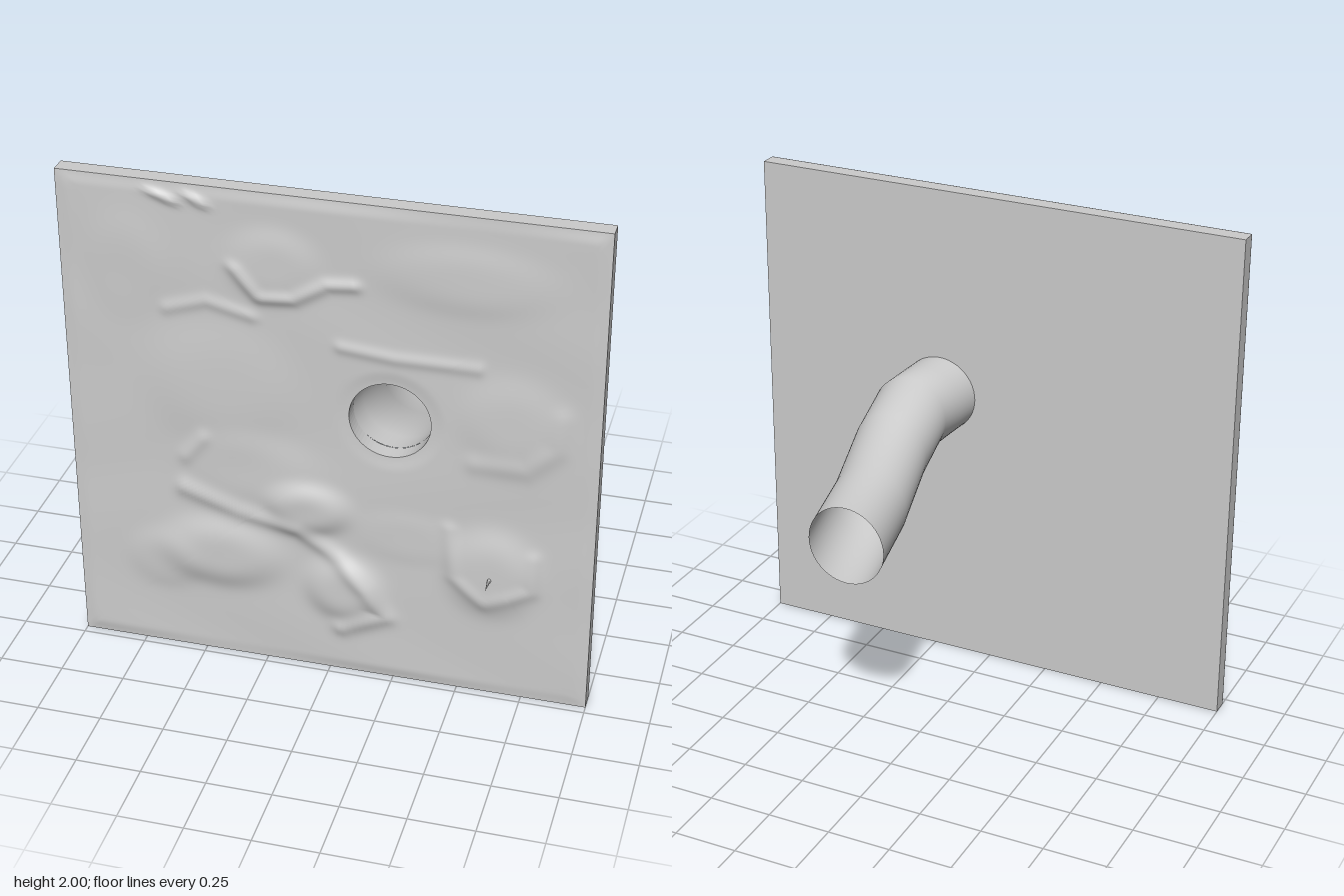
import * as THREE from 'three';

const HOLE = { x: 0.23, y: 1.147, r: 0.153 };
const BACK = 0.4, FRONT = 0.466;

// Soft lumps: x, y, width, height, rise
const lumps = [
  [-0.42, 0.47, 0.22, 0.14, 0.03], [-0.08, 0.72, 0.15, 0.1, 0.03],
  [0.06, 0.38, 0.14, 0.13, 0.03], [0.62, 0.55, 0.16, 0.17, 0.025],
  [-0.4, 1.2, 0.26, 0.25, 0.012], [0.68, 1.2, 0.18, 0.17, 0.012],
  [-0.2, 1.72, 0.16, 0.13, 0.014], [0.5, 1.75, 0.3, 0.12, 0.008],
  [-0.65, 0.4, 0.14, 0.12, 0.01], [-0.75, 1.65, 0.15, 0.2, 0.006],
  [-0.3, 0.85, 0.25, 0.15, 0.012], [0.3, 0.65, 0.2, 0.1, 0.005],
];

// Sharp ledges: width, rise, path points
const ledges = [
  [0.035, 0.016, [[-0.56, 0.74], [-0.35, 0.67], [-0.12, 0.62], [0.04, 0.52], [0.15, 0.4], [0.22, 0.28], [0.05, 0.2]]],
  [0.025, 0.013, [[-0.34, 1.7], [-0.25, 1.59], [-0.12, 1.6], [0, 1.67], [0.1, 1.68]]],
  [0.025, 0.008, [[0.05, 1.43], [0.25, 1.41], [0.55, 1.41]]],
  [0.025, 0.008, [[-0.6, 1.5], [-0.45, 1.55], [-0.28, 1.51]]],
  [0.04, 0.007, [[0.55, 1.02], [0.74, 1.02], [0.85, 1.12], [0.86, 1.25]]],
  [0.03, 0.008, [[0.46, 0.72], [0.48, 0.52], [0.6, 0.42], [0.78, 0.5], [0.78, 0.64]]],
  [0.03, 0.009, [[-0.55, 0.88], [-0.48, 0.97]]],
  [0.02, 0.012, [[-0.64, 1.96], [-0.56, 1.93]]],
  [0.02, 0.012, [[-0.5, 1.96], [-0.45, 1.93]]],
];

function segmentDistance(x, y, [ax, ay], [bx, by]) {
  const dx = bx - ax, dy = by - ay;
  const t = THREE.MathUtils.clamp(((x - ax) * dx + (y - ay) * dy) / (dx * dx + dy * dy), 0, 1);
  return Math.hypot(x - ax - dx * t, y - ay - dy * t);
}

function relief(x, y) {
  let h = 0.006 + 0.003 * Math.sin(5 * x + 2 * Math.sin(4 * y)) * Math.cos(6 * y + x);
  for (const [cx, cy, w, t, rise] of lumps) {
    const d = ((x - cx) / w) ** 2 + ((y - cy) / t) ** 2;
    h += rise * Math.exp(-d * d);
  }
  for (const [w, rise, path] of ledges) {
    let d = Infinity;
    for (let i = 1; i < path.length; i++) d = Math.min(d, segmentDistance(x, y, path[i - 1], path[i]));
    h += rise * Math.exp(-((d / w) ** 2));
  }
  // Settle onto the slab at the outer edge and the rim of the hole
  const edge = Math.min(1 - Math.abs(x), y, 2 - y);
  const rim = Math.hypot(x - HOLE.x, y - HOLE.y) - HOLE.r;
  return h * THREE.MathUtils.smoothstep(edge, -0.005, 0.05) * THREE.MathUtils.smoothstep(rim, -0.005, 0.06);
}

// Grid surface from rows of points; every row is a closed ring
function ringSurface(rows, cols, point) {
  const pos = [], index = [];
  for (let i = 0; i < rows; i++) for (let j = 0; j < cols; j++) pos.push(...point(i, j));
  for (let i = 0; i < rows - 1; i++) {
    for (let j = 0; j < cols; j++) {
      const k = (j + 1) % cols;
      const a = i * cols + j, b = a + cols, c = (i + 1) * cols + k, d = i * cols + k;
      index.push(a, b, c, a, c, d);
    }
  }
  const geo = new THREE.BufferGeometry();
  geo.setAttribute('position', new THREE.Float32BufferAttribute(pos, 3));
  geo.setIndex(index);
  geo.computeVertexNormals();
  return geo;
}

export function createModel() {
  const group = new THREE.Group();
  const solid = new THREE.MeshStandardMaterial({ color: 0xcccccc });
  const open = new THREE.MeshStandardMaterial({ color: 0xcccccc, side: THREE.DoubleSide });
  const add = (name, geo, mat) => {
    const mesh = new THREE.Mesh(geo, mat);
    mesh.name = name;
    group.add(mesh);
    return mesh;
  };

  // Flat slab with a round hole
  const shape = new THREE.Shape([[-1, 0], [1, 0], [1, 2], [-1, 2]].map(p => new THREE.Vector2(...p)));
  shape.holes.push(new THREE.Path().absarc(HOLE.x, HOLE.y, HOLE.r, 0, Math.PI * 2, true));
  const slab = new THREE.ExtrudeGeometry(shape, { depth: FRONT - BACK, bevelEnabled: false, curveSegments: 32 });
  add('wallSlab', slab.translate(0, 0, BACK), solid);

  // Rocky front, spread from the hole rim out to the square edge
  const side = 80, rings = 90;
  const corners = [[-1, 0], [1, 0], [1, 2], [-1, 2]];
  add('rockFace', ringSurface(rings, side * 4, (i, j) => {
    const s = Math.floor(j / side), t = (j % side) / side;
    const p = corners[s], q = corners[(s + 1) % 4];
    const ex = p[0] + (q[0] - p[0]) * t, ey = p[1] + (q[1] - p[1]) * t;
    const len = Math.hypot(ex - HOLE.x, ey - HOLE.y);
    const d = THREE.MathUtils.lerp(HOLE.r, len, i / (rings - 1)) / len;
    const x = HOLE.x + (ex - HOLE.x) * d, y = HOLE.y + (ey - HOLE.y) * d;
    return [x, y, FRONT + 0.001 + relief(x, y)];
  }), open);

  // Bent open pipe behind the hole: centre x, y, z of each ring
  const bends = [[0.23, 1.15, 0.4], [0.245, 1.143, 0.31], [0.26, 1.135, 0.2], [0.245, 1.065, 0],
    [0.195, 0.972, -0.27], [0.137, 0.95, -0.57]];
  add('pipe', ringSurface(bends.length, 48, (i, j) => {
    const a = -j / 48 * Math.PI * 2, [x, y, z] = bends[i];
    return [x + 0.155 * Math.cos(a), y + 0.155 * Math.sin(a), z];
  }), open);

  // Small stone splinter
  const splinter = add('splinter', new THREE.ConeGeometry(0.01, 0.09, 5), solid);
  splinter.rotation.x = Math.PI / 2;
  splinter.position.set(0.62, 0.54, 0.525);

  return group;
}
